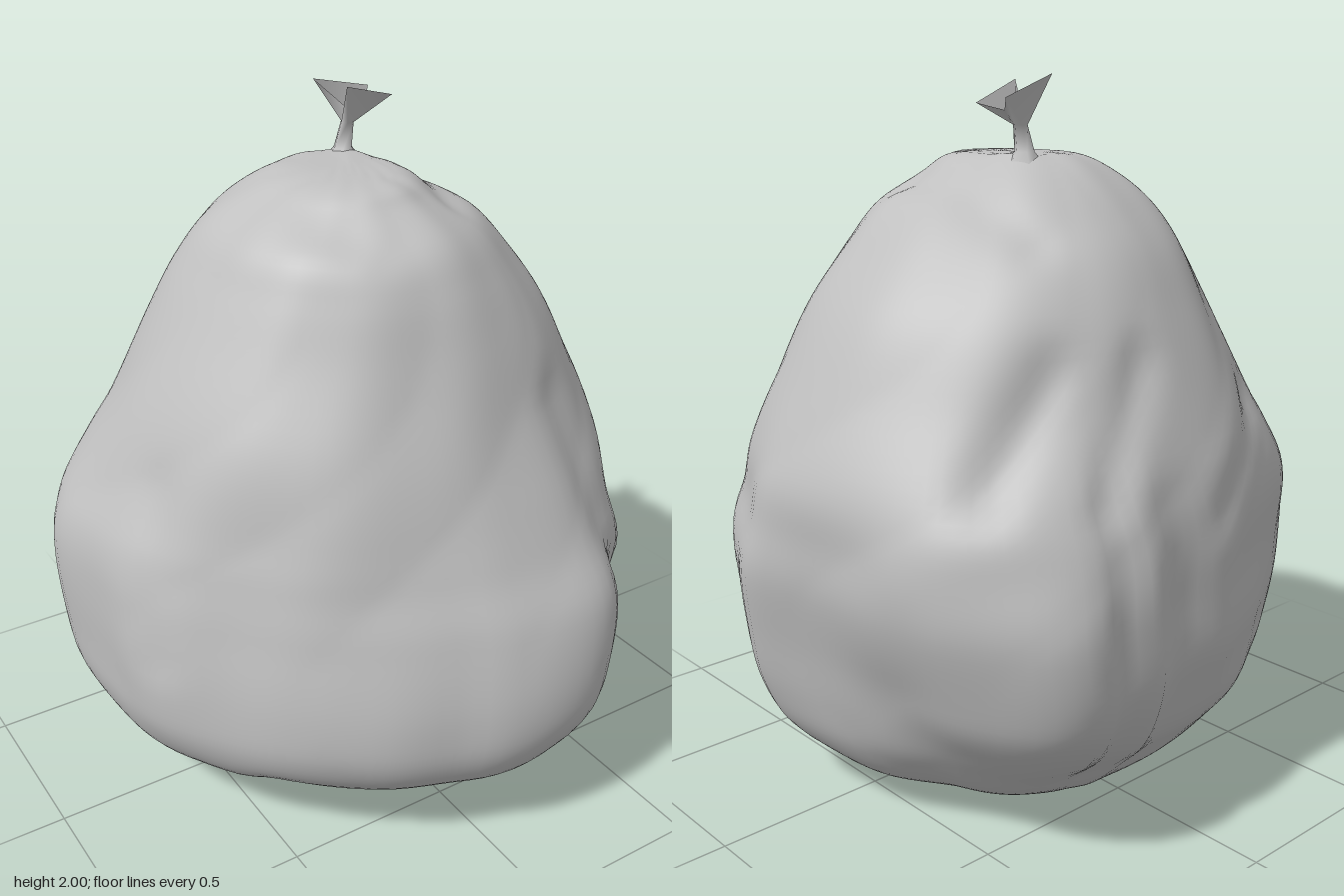
import * as THREE from 'three';

const SEG = 112, ROWS = 90;

// Plan outline at the widest level, [x, z], running front -> left -> back -> right
const OUTLINE = [
  [0.2, 0.83], [0.38, 0.8], [0.52, 0.69], [0.61, 0.58], [0.72, 0.38], [0.835, 0.15], [0.83, 0.03],
  [0.8, -0.22], [0.76, -0.42], [0.7, -0.6], [0.55, -0.79], [0.43, -0.835], [0.33, -0.81], [0.24, -0.835],
  [0.1, -0.78], [-0.08, -0.79], [-0.25, -0.72], [-0.45, -0.63], [-0.63, -0.55], [-0.76, -0.45],
  [-0.83, -0.28], [-0.81, -0.05], [-0.76, 0.19], [-0.6, 0.4], [-0.45, 0.57], [-0.3, 0.67], [-0.1, 0.75], [0.03, 0.81],
];

// Levels: y, xMin, xMax, zMin, zMax
const LEVELS = [
  [0.015, -0.06, -0.06, -0.08, -0.08], [0.005, -0.27, 0.25, -0.3, 0.1], [0.04, -0.44, 0.43, -0.47, 0.31],
  [0.11, -0.58, 0.59, -0.58, 0.53], [0.21, -0.735, 0.69, -0.67, 0.71], [0.34, -0.815, 0.745, -0.765, 0.81],
  [0.5, -0.835, 0.785, -0.825, 0.83], [0.7, -0.835, 0.83, -0.835, 0.785], [0.85, -0.81, 0.82, -0.82, 0.7],
  [1.0, -0.735, 0.8, -0.775, 0.63], [1.2, -0.64, 0.715, -0.695, 0.545], [1.4, -0.53, 0.615, -0.615, 0.465],
  [1.55, -0.445, 0.49, -0.535, 0.405], [1.66, -0.37, 0.375, -0.435, 0.34], [1.74, -0.25, 0.25, -0.34, 0.22],
  [1.785, -0.13, 0.16, -0.26, 0.12], [1.795, 0.1, 0.1, -0.2, -0.2],
];

// Creases: start, end, radius, depth (negative depth bulges)
const CREASES = [
  [[0.36, 1.2, 0.45], [0.47, 0.75, 0.62], 0.08, 0.02],
  [[0.52, 0.68, 0.6], [0.66, 0.42, 0.5], 0.08, 0.045],
  [[0.25, 1.74, 0.15], [0.27, 1.6, -0.42], 0.07, 0.02],
  [[-0.2, 1.72, 0.16], [-0.1, 1.66, 0.3], 0.08, 0.015],
  [[-0.1, 0.9, -0.76], [-0.42, 1.1, -0.55], 0.07, 0.025],
  [[0.12, 1.3, -0.65], [0.33, 1.0, -0.76], 0.06, 0.02],
  [[0.36, 1.3, -0.58], [0.58, 1.05, -0.6], 0.07, 0.03],
  [[0.55, 0.95, -0.65], [0.72, 0.85, -0.45], 0.1, -0.015],
  [[0.6, 0.28, -0.45], [0.7, 0.4, -0.35], 0.16, 0.03],
  [[-0.7, 1.05, 0.1], [-0.74, 0.6, 0.2], 0.07, 0.015],
  [[-0.5, 0.2, 0.4], [0.0, 0.17, 0.62], 0.07, 0.015],
].map(([a, b, radius, depth]) => ({
  line: new THREE.Line3(new THREE.Vector3(...a), new THREE.Vector3(...b)), radius, depth,
}));

// Joins equal rings of points into an open-ended skin
function skin(rings) {
  const n = rings[0].length, index = [];
  for (let j = 0; j < rings.length - 1; j++) {
    for (let i = 0; i < n; i++) {
      const k = (i + 1) % n, a = j * n + i, b = j * n + k;
      index.push(a, b, b + n, a, b + n, a + n);
    }
  }
  const g = new THREE.BufferGeometry().setFromPoints(rings.flat());
  g.setIndex(index);
  g.computeVertexNormals();
  return g;
}

// Near-circular section with its back-left and front-right corners swelled or cut
function roundSection(p, backLeft, frontRight) {
  const v = (p.x - p.z) / (Math.hypot(p.x, p.z) * Math.SQRT2);
  const swell = 1 + (v > 0 ? backLeft : frontRight) * v ** 4;
  return p.clone().setLength(0.835 * swell);
}

// Pushes a point in or out along creases and soft wrinkles
function crumple(p) {
  const out = new THREE.Vector3(p.x, (p.y - 0.7) * 0.6, p.z).normalize();
  const near = new THREE.Vector3();
  let d = 0;
  for (const { line, radius, depth } of CREASES) {
    line.closestPointToPoint(p, true, near);
    d -= depth * Math.exp(-near.distanceToSquared(p) / (radius * radius));
  }
  const a = Math.atan2(p.x, p.z);
  const body = Math.min(1, Math.hypot(p.x, p.z) / 0.5);
  d += body * (0.004 * Math.sin(5 * a + 4 * p.y) + 0.003 * Math.sin(11 * a - 5 * p.y + 1)
    + 0.005 * Math.abs(Math.sin(4 * a + 3 * Math.sin(3 * p.y))) - 0.005
    + 0.004 * Math.sin(9 * p.y + 3 * a));
  return p.addScaledVector(out, d);
}

function sackGeometry() {
  const plan = new THREE.CatmullRomCurve3(OUTLINE.map(([x, z]) => new THREE.Vector3(x, 0, z)), true)
    .getSpacedPoints(SEG).slice(0, SEG);
  const shoulder = plan.map(p => roundSection(p, 0.03, 0));
  const base = plan.map(p => roundSection(p, -0.1, -0.12));
  const spline = (lo, hi) => new THREE.CatmullRomCurve3(
    LEVELS.map(l => new THREE.Vector3(l[lo], l[0], l[hi])), false, 'catmullrom', 0.5);
  const xs = spline(1, 2), zs = spline(3, 4);
  const rings = [];
  for (let j = 0; j <= ROWS; j++) {
    const X = xs.getPoint(j / ROWS), Z = zs.getPoint(j / ROWS);
    const up = 0.95 * THREE.MathUtils.smoothstep(X.y, 0.65, 1.25);
    const down = 0.8 * (1 - THREE.MathUtils.smoothstep(X.y, 0.05, 0.45));
    const ring = plan.map((p, i) => p.clone().lerp(shoulder[i], up).lerp(base[i], down));
    const box = new THREE.Box3().setFromPoints(ring);
    rings.push(ring.map(p => {
      const q = crumple(new THREE.Vector3(
        THREE.MathUtils.mapLinear(p.x, box.min.x, box.max.x, X.x, X.z),
        X.y,
        THREE.MathUtils.mapLinear(p.z, box.min.z, box.max.z, Z.x, Z.z)));
      q.y = Math.max(q.y, 0);
      return q;
    }));
  }
  return skin(rings);
}

// Pinched neck opening into a small zigzag frill
function tieGeometry() {
  const rim = [[0.07, 1.985, -0.13], [0.26, 1.93, -0.19], [0.18, 1.91, -0.21],
    [0.23, 1.945, -0.27], [0.01, 2.0, -0.21], [0.12, 1.9, -0.19]].map(p => new THREE.Vector3(...p));
  const ring = (y, r, cx) => rim.map((_, i) => {
    const a = (i / rim.length) * Math.PI * 2 - 0.5;
    return new THREE.Vector3(cx + r * Math.sin(a), y, -0.2 + r * Math.cos(a));
  });
  return skin([ring(1.75, 0.07, 0.1), ring(1.8, 0.028, 0.1), ring(1.87, 0.02, 0.115), rim]);
}

export function createModel() {
  const plastic = new THREE.MeshStandardMaterial({ color: 0xc0c0c0, side: THREE.DoubleSide });
  plastic.name = 'grey plastic';
  const model = new THREE.Group();
  model.name = 'tiedBag';
  const add = (name, geometry) => {
    const mesh = new THREE.Mesh(geometry, plastic);
    mesh.name = name;
    model.add(mesh);
  };
  add('sack', sackGeometry());
  add('tiedNeck', tieGeometry());
  return model;
}
